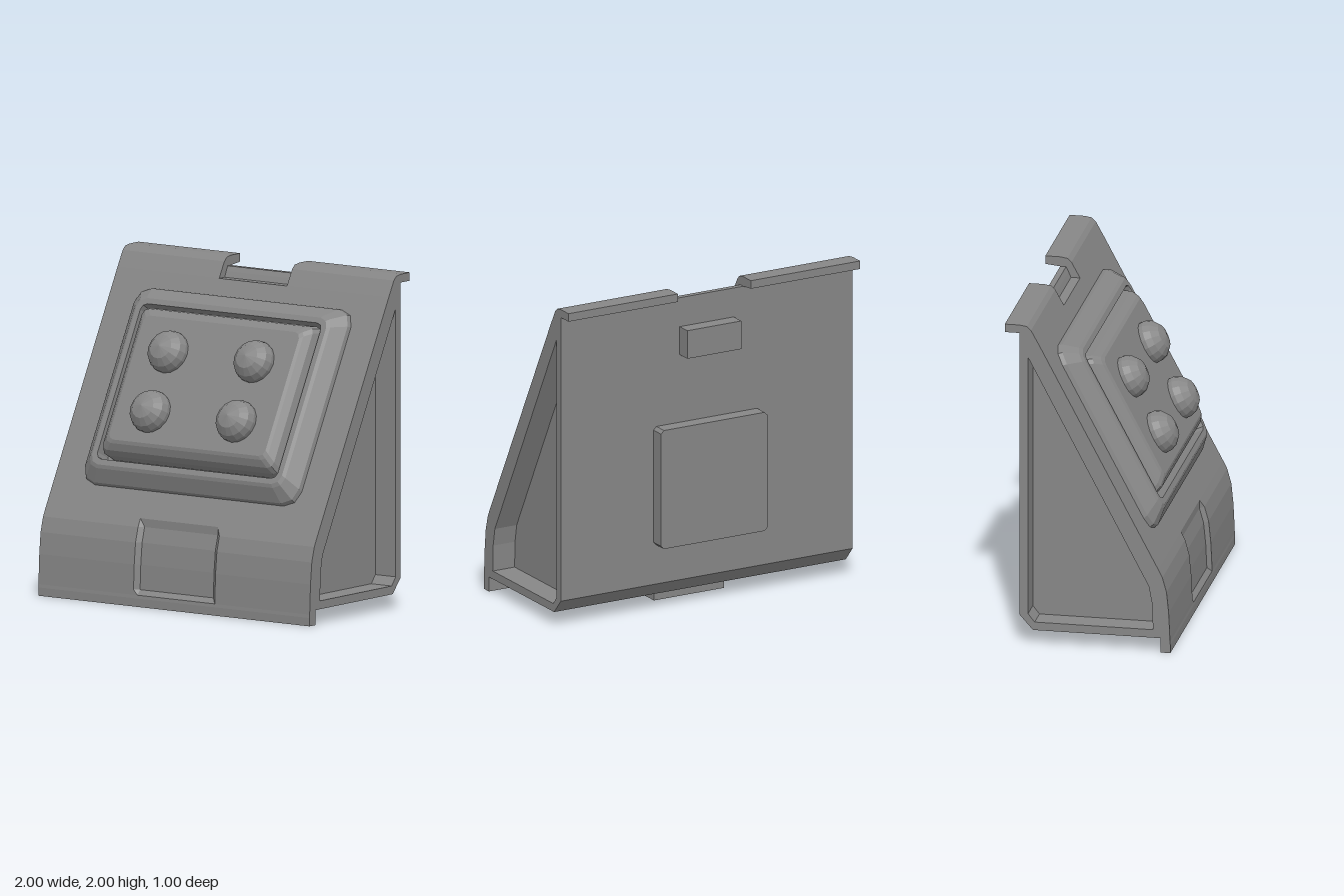
import * as THREE from 'three';

const material = new THREE.MeshStandardMaterial({ color: 0x868686, flatShading: true });

function addMesh(parent, name, geometry, x = 0, y = 0, z = 0) {
  const mesh = new THREE.Mesh(geometry, material);
  mesh.name = name;
  mesh.position.set(x, y, z);
  parent.add(mesh);
  return mesh;
}

// Skin a series of equal-length rings; optionally close the last one with a fan.
function loft(rings, cap = false) {
  const pos = [];
  const tri = (a, b, c) => {
    const n = new THREE.Vector3().crossVectors(b.clone().sub(a), c.clone().sub(a));
    if (n.length() > 1e-9) for (const p of [a, b, c]) pos.push(p.x, p.y, p.z);
  };
  const n = rings[0].length;
  for (let i = 0; i < rings.length - 1; i++) {
    for (let j = 0; j < n; j++) {
      const k = (j + 1) % n;
      tri(rings[i][j], rings[i][k], rings[i + 1][k]);
      tri(rings[i][j], rings[i + 1][k], rings[i + 1][j]);
    }
  }
  if (cap) {
    const last = rings[rings.length - 1];
    for (let j = 1; j < n - 1; j++) tri(last[0], last[j], last[j + 1]);
  }
  const geometry = new THREE.BufferGeometry();
  geometry.setAttribute('position', new THREE.Float32BufferAttribute(pos, 3));
  geometry.computeVertexNormals();
  return geometry;
}

// Counter-clockwise rectangle with rounded corners at height h.
function roundedRing(hx, hy, h, r, steps = 2) {
  const ring = [];
  [[1, 1], [-1, 1], [-1, -1], [1, -1]].forEach(([sx, sy], q) => {
    for (let i = 0; i <= steps; i++) {
      const a = (q + i / steps) * Math.PI / 2;
      ring.push(new THREE.Vector3(sx * (hx - r) + r * Math.cos(a), sy * (hy - r) + r * Math.sin(a), h));
    }
  });
  return ring;
}

// Side outline as [z, y], with optional front pocket and top notch.
function outline(pocket = 0, notch = false) {
  const d = 0.025 * pocket;
  const top = notch
    ? [[-0.345, 1.875], [-0.36, 1.91], [-0.375, 1.94], [-0.41, 1.94], [-0.41, 1.94], [-0.41, 1.94]]
    : [[-0.342, 1.97], [-0.367, 1.993], [-0.41, 2], [-0.5, 2], [-0.5, 1.95], [-0.41, 1.95]];
  return [
    [0.44, 0], [0.5, 0], [0.5, 0.05], [0.498, 0.07],
    [0.497 - d, 0.1], [0.49 - d, 0.25], [0.477 - d, 0.38], [0.452 - d, 0.47],
    [0.427, 0.52], [-0.29, 1.875], ...top,
    [-0.41, 0.18], [-0.33, 0.09], [0.44, 0.09],
  ];
}

const toPoints = (list) => list.map(([z, y]) => new THREE.Vector2(z, y));

// Extrude a [z, y] shape towards -x.
function extrudeSide(shape, depth) {
  return new THREE.ExtrudeGeometry(shape, { depth, bevelEnabled: false }).rotateY(-Math.PI / 2);
}

export function createModel() {
  const group = new THREE.Group();
  group.name = 'wedgeConsole';

  // Central housing with front pocket and notched top lip
  const half = [[0.85, 0, false], [0.3, 0, false], [0.27, 1, false], [0.25, 1, false], [0.25, 1, true]];
  const stations = [...half, ...half.map(([x, p, n]) => [-x, p, n]).reverse()];
  addMesh(group, 'housing', loft(stations.map(([x, p, n]) =>
    outline(p, n).map(([z, y]) => new THREE.Vector3(x, y, z)))));

  // Side frames around recessed side panels
  const opening = [[0.395, 0.14], [0.39, 0.3], [0.37, 0.41], [-0.36, 1.8], [-0.36, 0.19], [-0.32, 0.14]];
  const frame = new THREE.Shape(toPoints(outline()));
  frame.holes.push(new THREE.Path(toPoints(opening)));
  const panel = new THREE.Shape(toPoints(opening));
  for (const [side, frameX, panelX] of [['left', 1, 0.85], ['right', -0.85, -0.84]]) {
    addMesh(group, side + 'SideFrame', extrudeSide(frame, 0.15), frameX);
    addMesh(group, side + 'SidePanel', extrudeSide(panel, 0.01), panelX);
  }

  // Control panel lying on the sloping front
  const control = new THREE.Group();
  control.name = 'controlPanel';
  control.position.set(0, 1.2, 0.068);
  control.rotation.x = -Math.atan(0.53);
  group.add(control);

  const surround = [[0, -0.02, 0.1], [0.012, 0.025, 0.1], [0.08, 0.095, 0.07],
    [0.1, 0.107, 0.06], [0.135, 0.107, 0.04], [0.14, -0.01, 0.04]];
  addMesh(control, 'surround', loft(surround.map(([o, h, r]) =>
    roundedRing(0.8 - o, 0.63 - o, h, r))), 0, 0.03, 0);

  const plate = [[0, -0.02], [0, 0.08], [0.02, 0.125], [0.055, 0.158], [0.075, 0.168]];
  addMesh(control, 'raisedPlate', loft(plate.map(([o, h]) =>
    roundedRing(0.65 - o, 0.47 - o, h, 0.04)), true), 0, 0.04, 0);

  // Four domed knobs
  const dome = [[0.13, -0.02], [0.13, 0.025], [0.115, 0.065], [0.075, 0.103], [0, 0.122]];
  const knob = new THREE.LatheGeometry(dome.map(([r, y]) => new THREE.Vector2(r, y)), 16).rotateX(Math.PI / 2);
  for (const x of [-0.317, 0.317]) {
    for (const y of [-0.16, 0.22]) addMesh(control, 'knob', knob, x, y, 0.168);
  }

  // Mounting blocks on the back and underneath
  addMesh(group, 'upperBackBlock', new THREE.BoxGeometry(0.37, 0.175, 0.1), 0, 1.672, -0.45);
  const pad = [0, 0.095].map((h) => roundedRing(0.365, 0.37, h, 0.02, 1));
  addMesh(group, 'backPad', loft(pad, true), 0, 0.793, -0.405).rotation.y = Math.PI;
  addMesh(group, 'bottomBlock', new THREE.BoxGeometry(0.48, 0.1, 0.46), 0, 0.05, 0.03);

  return group;
}
